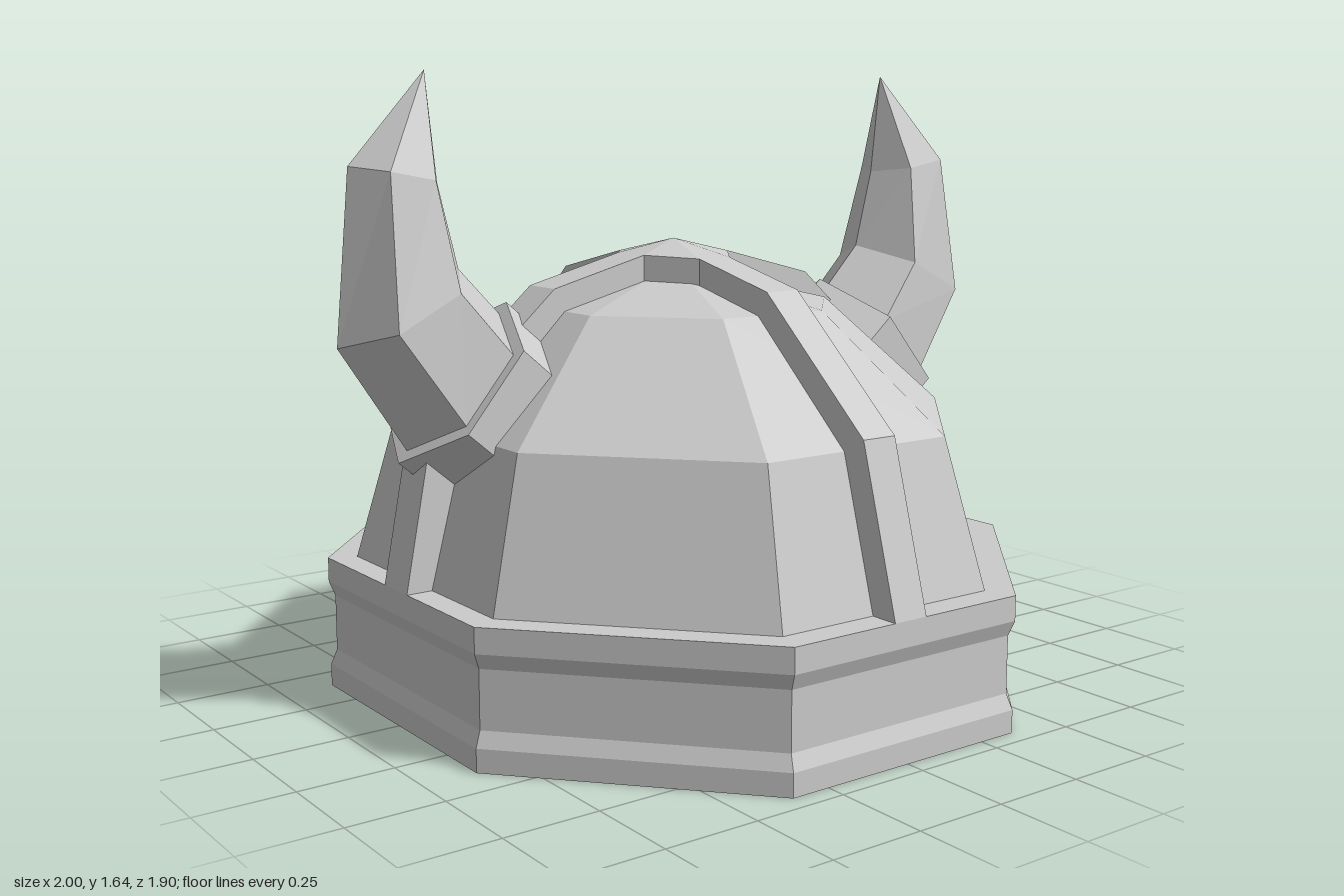
import * as THREE from 'three';
import { ConvexGeometry } from 'three/addons/geometries/ConvexGeometry.js';

const material = new THREE.MeshStandardMaterial({ color: 0xcccccc, flatShading: true });
const DEPTH = 0.95 / 0.86; // the octagon is slightly longer along z

function part(name, geometry, parent) {
  const mesh = new THREE.Mesh(geometry, material);
  mesh.name = name;
  parent.add(mesh);
  return mesh;
}

// Eight-sided lathe; profile radii are measured to the flat sides
function octagonLathe(profile) {
  const pts = profile.map(([r, y]) => new THREE.Vector2(r / Math.cos(Math.PI / 8), y));
  return new THREE.LatheGeometry(pts, 8, Math.PI / 8).scale(1, 1, DEPTH);
}

// Skin over hexagonal rings, each given by its outer and inner corner in the xy plane
function hexLoft(rings) {
  const pos = [], index = [];
  for (const [ox, oy, ix, iy] of rings) {
    const cx = (ox + ix) / 2, cy = (oy + iy) / 2;
    const r = Math.hypot(ox - cx, oy - cy);
    for (let i = 0; i < 6; i++) {
      const a = (i * Math.PI) / 3, c = Math.cos(a);
      pos.push(cx + (ox - cx) * c, cy + (oy - cy) * c, -r * Math.sin(a));
    }
  }
  for (let k = 0; k < rings.length - 1; k++) {
    for (let i = 0; i < 6; i++) {
      const a = k * 6 + i, b = k * 6 + ((i + 1) % 6);
      index.push(a, b, b + 6, a, b + 6, a + 6);
    }
  }
  const g = new THREE.BufferGeometry();
  g.setAttribute('position', new THREE.Float32BufferAttribute(pos, 3));
  g.setIndex(index);
  g.computeVertexNormals();
  return g;
}

// One reinforcing strip, running along +x from the crown to the band
function stripArm(outer, inner, halfWidth) {
  const shape = new THREE.Shape([...outer, ...inner].map(([x, y]) => new THREE.Vector2(x, y)));
  return new THREE.ExtrudeGeometry(shape, { depth: halfWidth * 2, bevelEnabled: false })
    .translate(0, 0, -halfWidth);
}

export function createModel() {
  const helmet = new THREE.Group();
  helmet.name = 'hornedHelmet';

  // Hollow shell: inside, rim, grooved band, ledge and dome in one profile
  part('shell', octagonLathe([
    [0, 0.73], [0.35, 0.66], [0.612, 0.5], [0.765, 0],
    [0.86, 0], [0.86, 0.06], [0.845, 0.1], [0.845, 0.25], [0.86, 0.29], [0.86, 0.355],
    [0.79, 0.355], [0.69, 0.735], [0.39, 1.03], [0, 1.13],
  ]), helmet);

  // Crossed strips over the dome
  const sideArm = stripArm(
    [[0.14, 1.163], [0.42, 1.09], [0.78, 0.77], [0.86, 0.355]],
    [[0.76, 0.355], [0.66, 0.72], [0.37, 1.0], [0.14, 1.06]], 0.06);
  const frontArm = stripArm(
    [[0.185, 1.157], [0.465, 1.093], [0.83, 0.773], [0.95, 0.355]],
    [[0.85, 0.355], [0.73, 0.72], [0.41, 1.0], [0.185, 1.06]], 0.05);
  for (let k = 0; k < 4; k++) {
    const arm = part(k % 2 ? 'lengthStrip' : 'sideStrip', k % 2 ? frontArm : sideArm, helmet);
    arm.rotation.y = (k * Math.PI) / 2;
  }

  // Crown piece with chamfered corners where the strips meet
  const crown = [new THREE.Vector3(0, 1.2, 0)];
  for (const sx of [-1, 1]) for (const sz of [-1, 1]) {
    for (const [x, y, z] of [[0.14, 1.163, 0.06], [0.05, 1.157, 0.185]]) {
      crown.push(new THREE.Vector3(sx * x, y, sz * z), new THREE.Vector3(sx * x, 1.06, sz * z));
    }
  }
  part('crownPiece', new ConvexGeometry(crown), helmet);

  // Horns with hexagonal collars
  const collar = hexLoft([
    [0.695, 0.55, 0.38, 0.932],
    [0.844, 0.676, 0.528, 1.058],
    [0.686, 0.867, 0.686, 0.867],
  ]);
  const horn = hexLoft([
    [0.82, 0.705, 0.55, 1.03],
    [1.0, 0.975, 0.665, 1.15],
    [0.96, 1.41, 0.72, 1.365],
    [0.75, 1.64, 0.75, 1.64],
  ]);
  for (const side of ['left', 'right']) {
    const group = new THREE.Group();
    group.name = side + 'HornAssembly';
    group.rotation.y = side === 'left' ? 0 : Math.PI;
    part(side + 'HornCollar', collar, group);
    part(side + 'Horn', horn, group);
    helmet.add(group);
  }
  return helmet;
}
